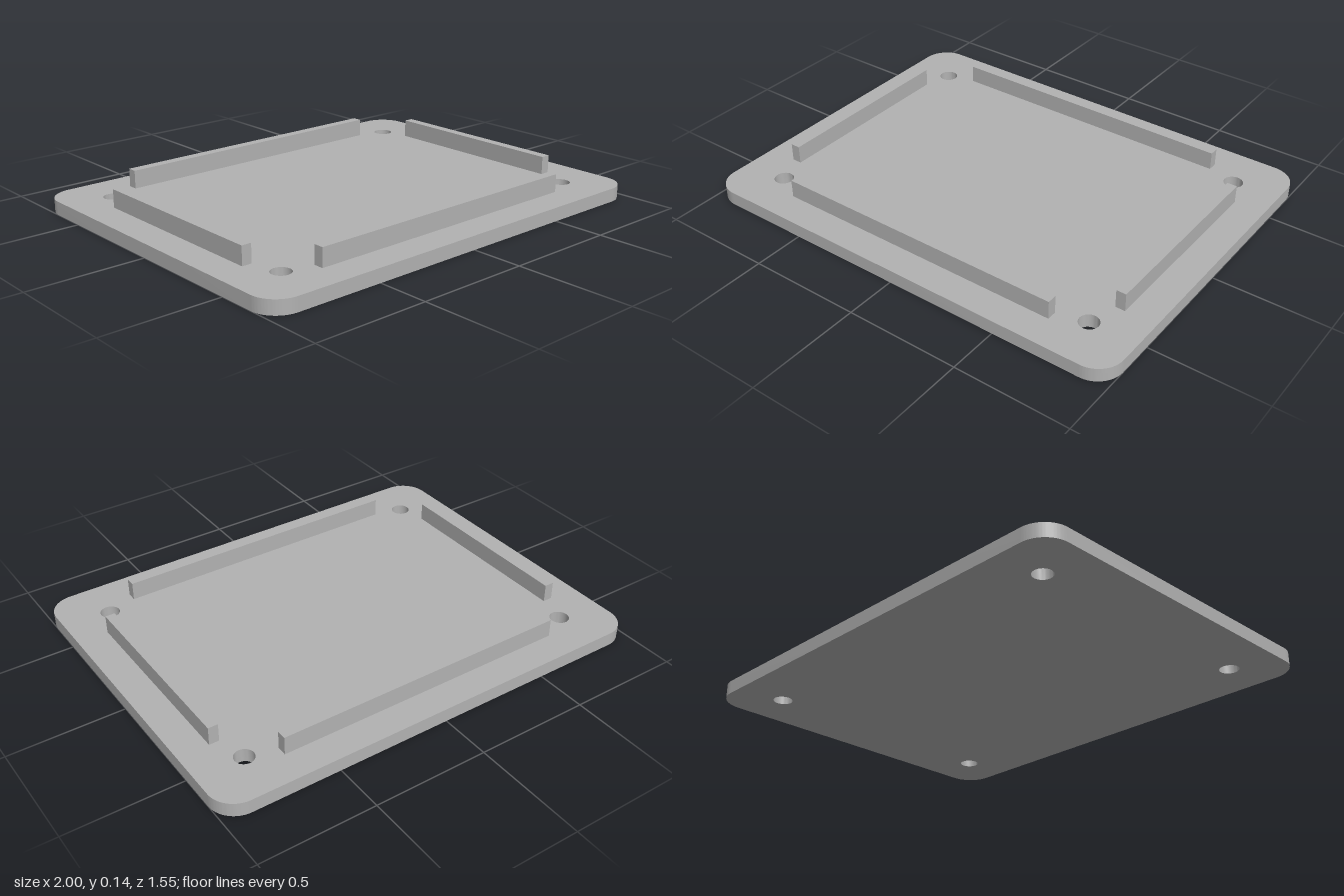
import * as THREE from 'three';
import { toCreasedNormals } from 'three/addons/utils/BufferGeometryUtils.js';

const W = 1, D = 0.777, R = 0.115; // half width, half depth, corner radius
const PLATE_H = 0.06, RAIL_H = 0.08, RAIL_T = 0.043;

// Rounded rectangular plate with four screw holes
function plateGeometry() {
  const shape = new THREE.Shape();
  shape.absarc(W - R, D - R, R, 0, Math.PI / 2);
  shape.absarc(-W + R, D - R, R, Math.PI / 2, Math.PI);
  shape.absarc(-W + R, -D + R, R, Math.PI, Math.PI * 1.5);
  shape.absarc(W - R, -D + R, R, Math.PI * 1.5, Math.PI * 2);
  shape.closePath();
  for (const sx of [-1, 1]) {
    for (const sy of [-1, 1]) {
      const hole = new THREE.Path();
      hole.absarc(sx * 0.79, sy * 0.567, 0.042, 0, Math.PI * 2, true);
      shape.holes.push(hole);
    }
  }
  const geometry = new THREE.ExtrudeGeometry(shape, {
    depth: PLATE_H, bevelEnabled: false, curveSegments: 16,
  });
  geometry.rotateX(-Math.PI / 2);
  return toCreasedNormals(geometry, Math.PI / 5);
}

export function createModel() {
  const model = new THREE.Group();
  model.name = 'coverPlate';
  const grey = new THREE.MeshStandardMaterial({ color: 0xb2b2b2 });
  grey.name = 'grey';

  const add = (name, geometry, x = 0, y = 0, z = 0) => {
    const mesh = new THREE.Mesh(geometry, grey);
    mesh.name = name;
    mesh.position.set(x, y, z);
    model.add(mesh);
  };

  add('plate', plateGeometry());

  // Locating rails, one along each edge
  const y = PLATE_H + RAIL_H / 2;
  const longRail = new THREE.BoxGeometry(1.32, RAIL_H, RAIL_T);
  const shortRail = new THREE.BoxGeometry(RAIL_T, RAIL_H, 0.874);
  add('frontRail', longRail, 0, y, 0.62);
  add('backRail', longRail, 0, y, -0.62);
  add('leftRail', shortRail, 0.843, y, 0);
  add('rightRail', shortRail, -0.843, y, 0);

  return model;
}
